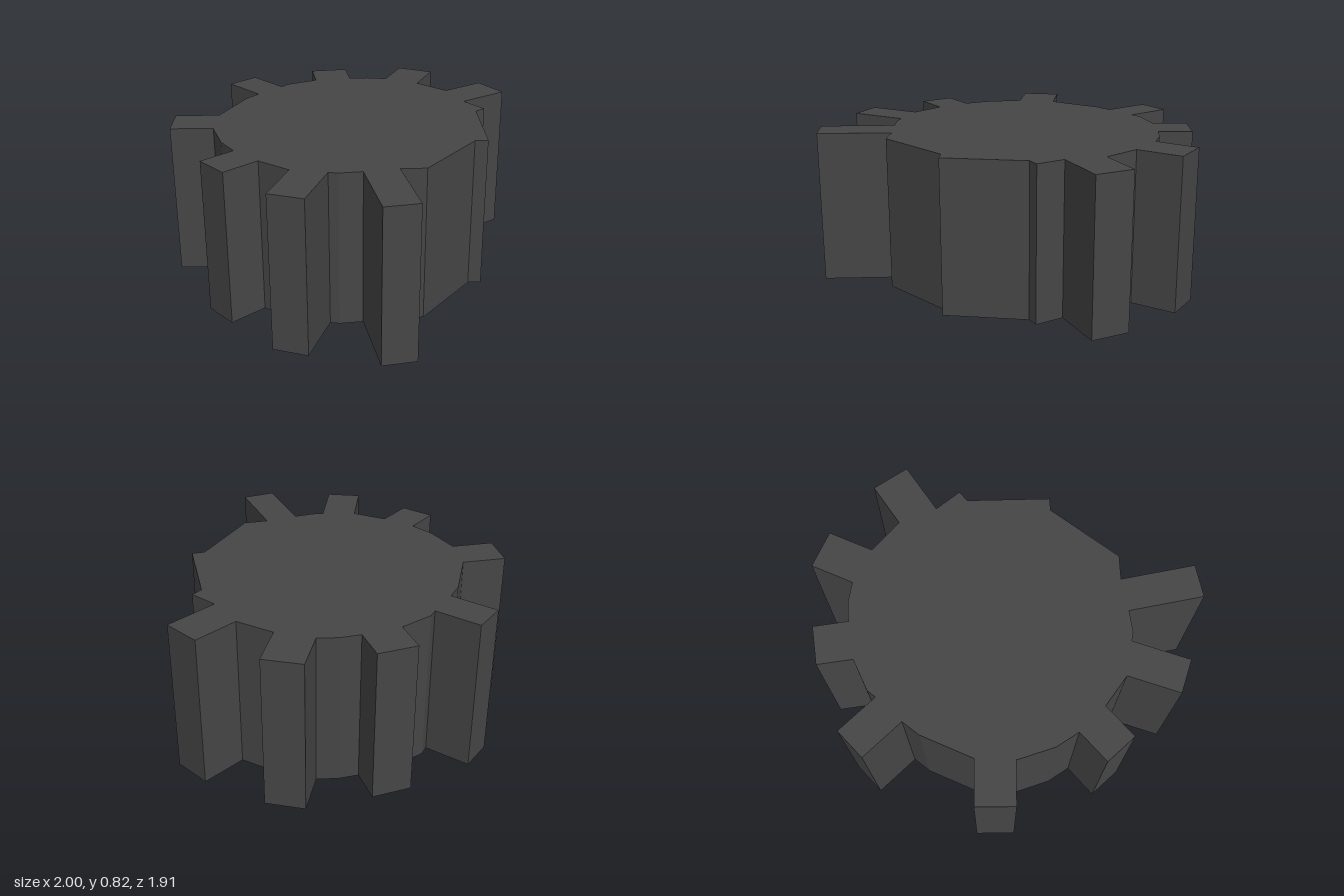
import * as THREE from 'three';

const HEIGHT = 0.825;

// Upright prism from a plan outline of [x, z] points
function prism(name, plan, material) {
  const shape = new THREE.Shape(plan.map(([x, z]) => new THREE.Vector2(x, -z)));
  const geometry = new THREE.ExtrudeGeometry(shape, { depth: HEIGHT, bevelEnabled: false });
  geometry.rotateX(-Math.PI / 2);
  const mesh = new THREE.Mesh(geometry, material);
  mesh.name = name;
  return mesh;
}

// Tooth plan: its outer edge, swept squarely back into the hub
function toothPlan([ax, az, bx, bz, depth]) {
  const length = Math.hypot(bx - ax, bz - az);
  let nx = (bz - az) / length;
  let nz = -(bx - ax) / length;
  if (nx * (ax + bx) + nz * (az + bz) > 0) { nx = -nx; nz = -nz; }
  const dx = nx * depth, dz = nz * depth;
  return [[ax, az], [bx, bz], [bx + dx, bz + dz], [ax + dx, az + dz]];
}

export function createModel() {
  const group = new THREE.Group();
  group.name = 'gear';
  const material = new THREE.MeshStandardMaterial({ color: 0x464646, flatShading: true });

  // Irregular faceted hub
  const hub = [
    [0.705, 0.11], [0.635, 0.22], [0.565, 0.38], [0.51, 0.49], [0.34, 0.66],
    [0.06, 0.76], [-0.16, 0.755], [-0.35, 0.70], [-0.52, 0.58], [-0.68, 0.325],
    [-0.72, 0.20], [-0.745, 0.07], [-0.77, -0.01], [-0.74, -0.20], [-0.65, -0.385],
    [-0.60, -0.47], [-0.515, -0.56], [-0.345, -0.65], [-0.14, -0.705], [0.065, -0.715],
    [0.045, -0.66], [0.225, -0.675], [0.23, -0.61], [0.60, -0.37], [0.565, -0.31],
  ];
  group.add(prism('hub', hub, material));

  // Teeth: both ends of the outer edge (x, z), then depth
  const teeth = [
    [-0.14, -0.955, 0.068, -0.955, 0.36],
    [-0.65, -0.75, -0.475, -0.86, 0.36],
    [-0.91, -0.27, -0.82, -0.457, 0.30],
    [-1.0, 0.083, -0.97, 0.265, 0.36],
    [-0.655, 0.77, -0.485, 0.885, 0.36],
    [0.003, 0.955, 0.19, 0.93, 0.30],
    [0.515, 0.885, 0.663, 0.773, 0.36],
    [1.0, 0.375, 0.93, 0.54, 0.50],
  ];
  teeth.forEach((t, i) => group.add(prism(`tooth${i + 1}`, toothPlan(t), material)));

  return group;
}
